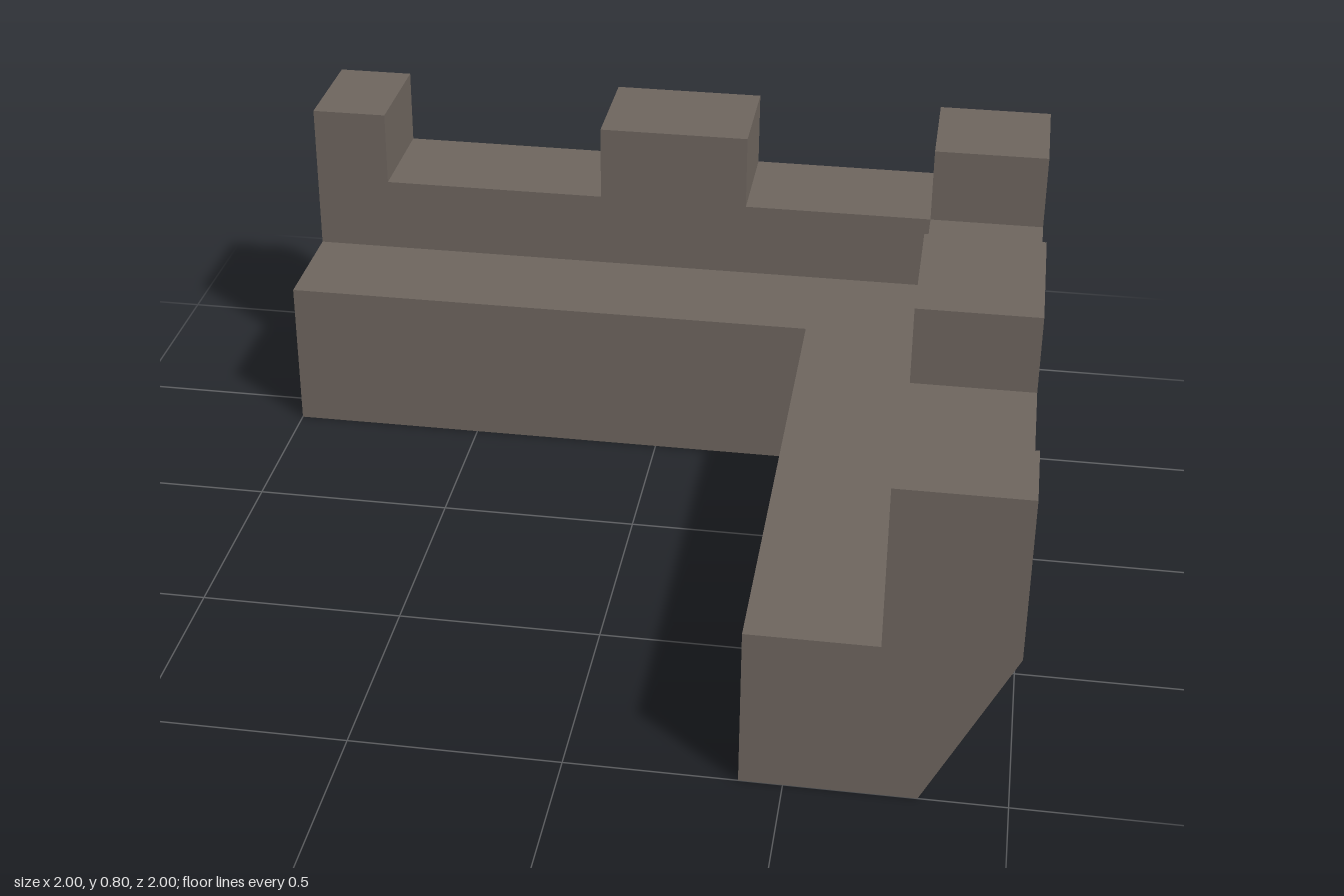
import * as THREE from 'three';

const stone = new THREE.MeshStandardMaterial({ color: 0x6e655e });
stone.name = 'stone';

// Wall cross-section: u runs outward, y up. Flared base, walkway and parapet.
const PROFILE = [
  [0.4, 0], [0.8, 0], [1, 0.4], [1, 0.6], [0.7, 0.6], [0.7, 0.4], [0.4, 0.4],
];

// Sweep the section along the back, round a mitred corner, then along the left side.
function cornerWall() {
  const shape = new THREE.Shape(PROFILE.map(([u, y]) => new THREE.Vector2(u, y)));
  const geo = new THREE.ExtrudeGeometry(shape, { depth: 2, steps: 2, bevelEnabled: false });
  const p = geo.attributes.position;
  for (let i = 0; i < p.count; i++) {
    const u = p.getX(i);
    const station = Math.round(p.getZ(i));
    p.setX(i, station === 0 ? -1 : u);
    p.setZ(i, station === 2 ? 1 : -u);
  }
  geo.computeVertexNormals();
  return geo;
}

export function createModel() {
  const model = new THREE.Group();
  model.name = 'cornerBattlement';

  const add = (name, geometry) => {
    const mesh = new THREE.Mesh(geometry, stone);
    mesh.name = name;
    model.add(mesh);
    return mesh;
  };

  add('wall', cornerWall());

  // Merlons stand on the parapet
  const merlon = (name, x0, x1, z0, z1) =>
    add(name, new THREE.BoxGeometry(x1 - x0, 0.2, z1 - z0))
      .position.set((x0 + x1) / 2, 0.7, (z0 + z1) / 2);

  merlon('cornerMerlon', 0.7, 1, -1, -0.7);
  for (const [name, a, b] of [['Middle', -0.2, 0.2], ['End', 0.8, 1]]) {
    merlon('back' + name + 'Merlon', -b, -a, -1, -0.7);
    merlon('side' + name + 'Merlon', 0.7, 1, a, b);
  }

  return model;
}
